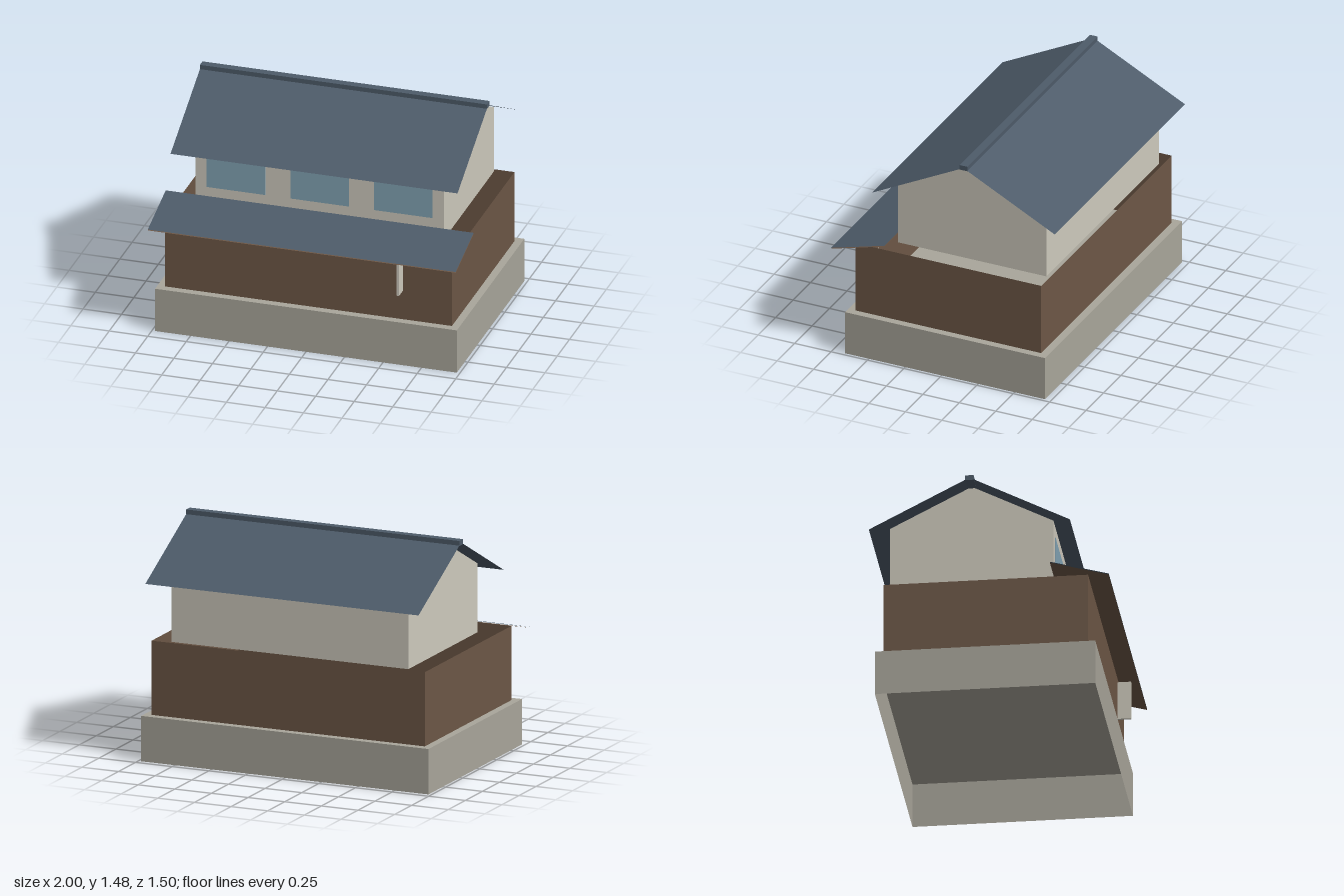
import * as THREE from 'three';

const mat = (name, color, side = THREE.FrontSide) => {
  const m = new THREE.MeshStandardMaterial({ color, side });
  m.name = name;
  return m;
};

export function createModel() {
  const house = new THREE.Group();
  house.name = 'house';

  const stone = mat('stone grey', 0xa9a69b, THREE.DoubleSide);
  const brown = mat('brown cladding', 0x6d5746, THREE.DoubleSide);
  const cream = mat('cream render', 0xcecabd);
  const slate = mat('slate blue', 0x4d5b69, THREE.DoubleSide);
  const glass = mat('window blue', 0x82a3b4);

  const add = (name, geometry, material) => {
    const mesh = new THREE.Mesh(geometry, material);
    mesh.name = name;
    house.add(mesh);
    return mesh;
  };

  // Box given by its limits; faces listed in "open" are left out
  // (0 +x, 1 -x, 2 +y, 3 -y, 4 +z, 5 -z)
  const box = (x0, x1, y0, y1, z0, z1, open = []) => {
    const g = new THREE.BoxGeometry(x1 - x0, y1 - y0, z1 - z0);
    g.translate((x0 + x1) / 2, (y0 + y1) / 2, (z0 + z1) / 2);
    const kept = Array.from(g.index.array).filter((_, i) => !open.includes(Math.floor(i / 6)));
    g.setIndex(kept);
    g.clearGroups();
    return g;
  };

  // Thin sloping sheet from a lower edge to an upper edge
  const slope = (halfWidth, yLow, zLow, yHigh, zHigh) => {
    const g = new THREE.BufferGeometry();
    g.setAttribute('position', new THREE.Float32BufferAttribute([
      -halfWidth, yLow, zLow, halfWidth, yLow, zLow,
      halfWidth, yHigh, zHigh, -halfWidth, yHigh, zHigh,
    ], 3));
    g.setIndex(zLow > zHigh ? [0, 1, 2, 0, 2, 3] : [0, 2, 1, 0, 3, 2]);
    g.computeVertexNormals();
    return g;
  };

  // Hollow plinth and open-topped ground floor
  add('plinth', box(-0.98, 0.98, 0, 0.29, -0.71, 0.664, [3]), stone);
  add('groundFloorWalls', box(-0.932, 0.932, 0.29, 0.764, -0.66, 0.613, [2, 3]), brown);

  // Upper floor with gable ends, extruded across the width
  const ridgeZ = -0.126;
  const gable = new THREE.Shape();
  gable.moveTo(-0.383, 0.764);
  gable.lineTo(0.635, 0.764);
  gable.lineTo(0.635, 1.203);
  gable.lineTo(-ridgeZ, 1.462);
  gable.lineTo(-0.383, 1.203);
  gable.closePath();
  const upper = new THREE.ExtrudeGeometry(gable, { depth: 1.616, bevelEnabled: false });
  upper.rotateY(Math.PI / 2).translate(-0.808, 0, 0);
  add('upperFloorWalls', upper, cream);

  // Row of front windows
  for (const x of [-0.543, 0, 0.543]) {
    add('window', box(x - 0.19, x + 0.19, 0.898, 1.123, 0.383, 0.387, [5]), glass);
  }

  // Main roof sheets and ridge cap
  add('mainRoofFront', slope(0.932, 1.148, 0.5, 1.468, ridgeZ), slate);
  add('mainRoofBack', slope(0.932, 1.148, -0.753, 1.468, ridgeZ), slate);
  add('ridgeCap', box(-0.932, 0.932, 1.452, 1.484, -0.153, -0.1), slate);

  // Front porch roof with a brown soffit under it
  add('porchRoof', slope(1, 0.733, 0.75, 0.834, 0.383), slate);
  add('porchSoffit', slope(1, 0.727, 0.75, 0.828, 0.383), brown);

  // Slim projecting board beneath the porch roof
  add('projectingBoard', box(0.599, 0.615, 0.488, 0.738, 0.613, 0.697), cream);

  return house;
}
